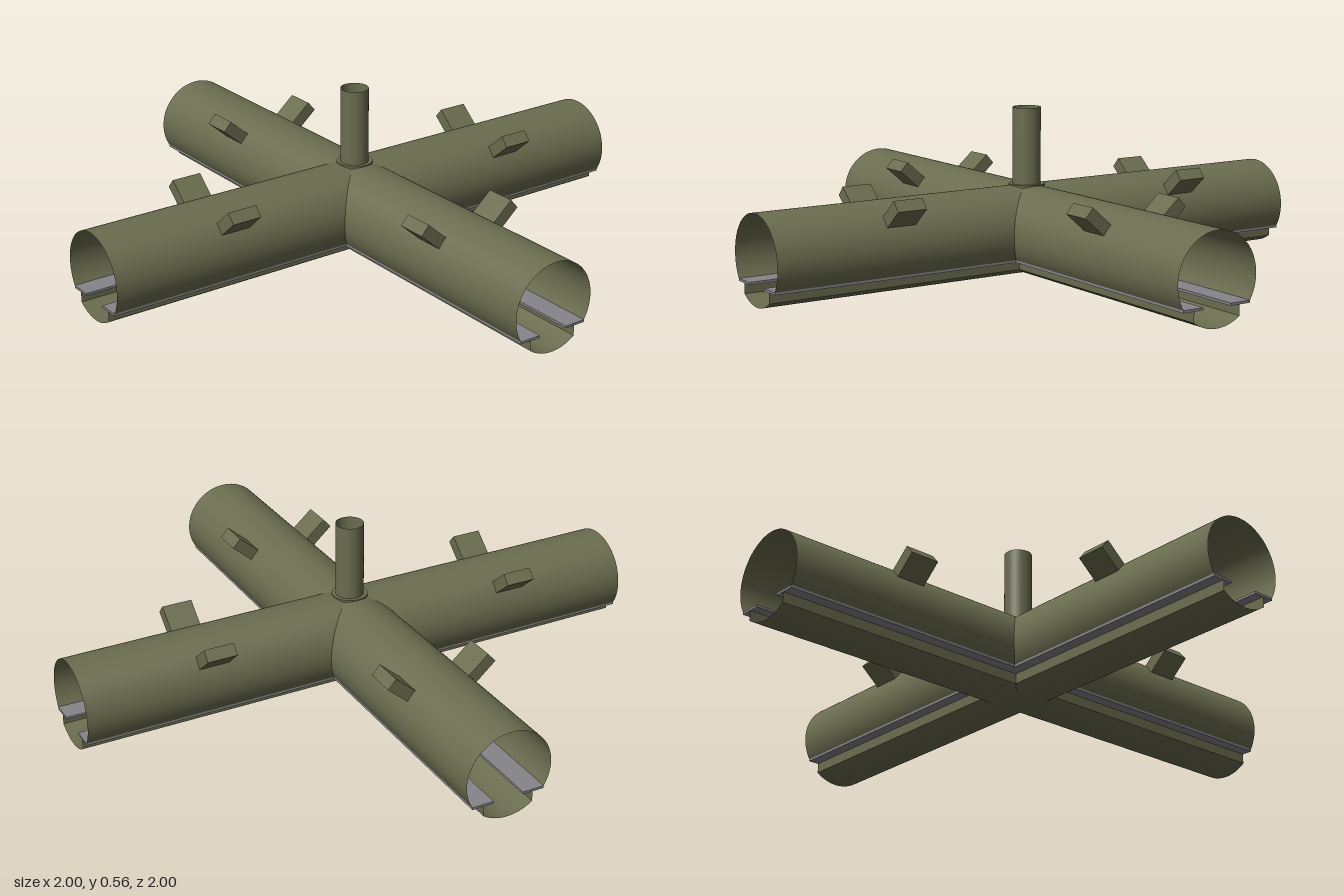
import * as THREE from 'three';

const R = 0.1475, CY = 0.1475;       // tube radius and axis height
const LEDGE_Y = 0.07, LEDGE_T = 0.008;
const LEDGE_IN = 0.052, WALL = 0.086; // ledge inner edge, keel half width

// Sweep a (z, y) profile along +x from the mitre plane x = |z| to the open end
function sweepArm(profile, { sharp = false, capped = false } = {}) {
  const pos = [], idx = [];
  profile.forEach(([z, y]) => pos.push(Math.abs(z), y, z, 1, y, z));
  for (let i = 0; i < profile.length - 1; i++) {
    const a = 2 * i;
    idx.push(a, a + 1, a + 3, a, a + 3, a + 2);
  }
  if (capped) idx.push(1, 3, 5, 1, 5, 7);
  let geo = new THREE.BufferGeometry();
  geo.setAttribute('position', new THREE.Float32BufferAttribute(pos, 3));
  geo.setIndex(idx);
  if (sharp) geo = geo.toNonIndexed();
  geo.computeVertexNormals();
  return geo;
}

// Circle points between two angles, measured from +z towards +y
function arc(from, to, steps) {
  return Array.from({ length: steps + 1 }, (_, i) => {
    const t = from + (to - from) * i / steps;
    return [R * Math.cos(t), CY + R * Math.sin(t)];
  });
}

export function createModel() {
  const model = new THREE.Group();
  model.name = 'crossPipeFitting';
  const olive = new THREE.MeshStandardMaterial({ color: 0x6a6d4f, side: THREE.DoubleSide });
  olive.name = 'olive';
  const grey = new THREE.MeshStandardMaterial({ color: 0x85858a, side: THREE.DoubleSide });
  grey.name = 'grey';

  const add = (parent, name, geo, mat) => {
    const mesh = new THREE.Mesh(geo, mat);
    mesh.name = name;
    parent.add(mesh);
    return mesh;
  };

  // Profiles shared by all arms
  const drop = Math.asin((CY - LEDGE_Y) / R);
  const ledgeOut = R * Math.cos(drop);
  const keelAngle = Math.acos(WALL / R);
  const keelY = CY - R * Math.sin(keelAngle);
  const ledgeBottom = LEDGE_Y - LEDGE_T;

  const shellGeo = sweepArm(arc(-drop, Math.PI + drop, 56));
  const keelGeo = sweepArm(arc(Math.PI + keelAngle, 2 * Math.PI - keelAngle, 20));
  const tabGeo = new THREE.BoxGeometry(0.103, 0.097, 0.042);

  for (let k = 0; k < 4; k++) {
    const arm = new THREE.Group();
    arm.name = 'arm' + (k + 1);
    arm.rotation.y = k * Math.PI / 2;
    model.add(arm);
    add(arm, 'upperShell', shellGeo, olive);
    add(arm, 'lowerShell', keelGeo, olive);

    for (const s of [1, -1]) {
      // Recessed wall and flat ledge of the side groove
      add(arm, 'grooveWall', sweepArm([[s * WALL, keelY], [s * WALL, ledgeBottom]]), olive);
      add(arm, 'grooveLedge', sweepArm([
        [s * LEDGE_IN, LEDGE_Y], [s * ledgeOut, LEDGE_Y],
        [s * ledgeOut, ledgeBottom], [s * LEDGE_IN, ledgeBottom], [s * LEDGE_IN, LEDGE_Y],
      ], { sharp: true, capped: true }), grey);

      // Slanted tab standing out of the shoulder
      const tilt = 0.715, mid = 0.1885;
      const tab = add(arm, 'tab', tabGeo, olive);
      tab.position.set(0.555, CY + mid * Math.sin(tilt), s * mid * Math.cos(tilt));
      tab.rotation.x = s * (Math.PI / 2 - tilt);
    }
  }

  // Open upright pipe with a small collar at the crossing
  const pipe = add(model, 'uprightPipe', new THREE.CylinderGeometry(0.047, 0.047, 0.275, 40, 1, true), olive);
  pipe.position.y = 0.4175;
  const collar = add(model, 'pipeCollar', new THREE.LatheGeometry([
    new THREE.Vector2(0.06, 0.28), new THREE.Vector2(0.06, 0.298), new THREE.Vector2(0.047, 0.298),
  ], 40), olive);
  collar.geometry = collar.geometry.toNonIndexed();
  collar.geometry.computeVertexNormals();
  return model;
}
